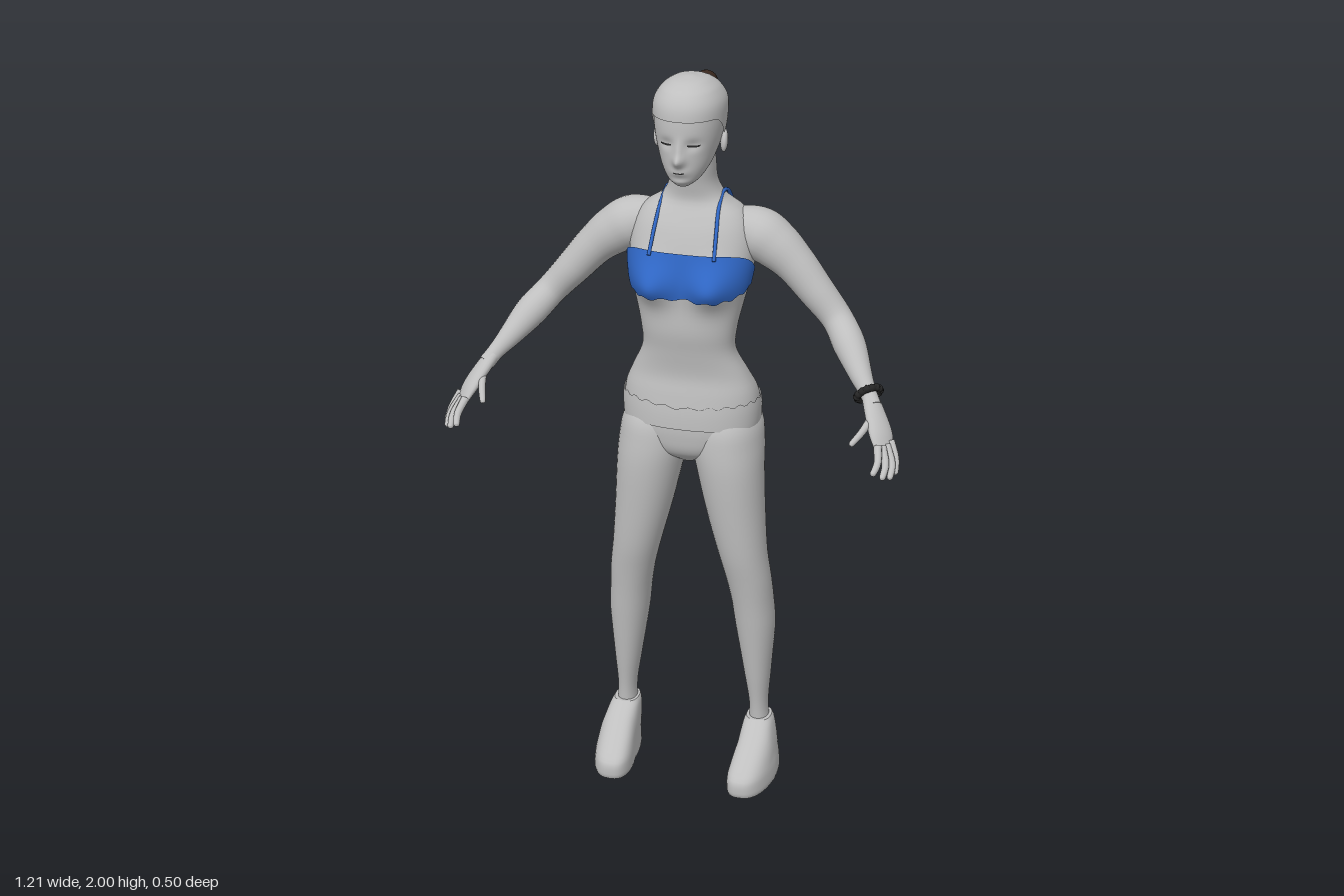
import * as THREE from 'three';

const mat = (name, color, side = THREE.FrontSide) => {
  const m = new THREE.MeshStandardMaterial({ color, side });
  m.name = name;
  return m;
};

// Smooth interpolation of table rows keyed by their first column
function sample(table, y) {
  let k = 0;
  while (k < table.length - 2 && y > table[k + 1][0]) k++;
  const a = table[k], b = table[k + 1], p = table[k - 1] || a, q = table[k + 2] || b;
  const h = b[0] - a[0], t = THREE.MathUtils.clamp((y - a[0]) / h, 0, 1), t2 = t * t, t3 = t2 * t;
  return a.map((v, i) => {
    const m0 = (b[i] - p[i]) / (b[0] - p[0]) * h, m1 = (q[i] - v) / (q[0] - a[0]) * h;
    return v * (2 * t3 - 3 * t2 + 1) + m0 * (t3 - 2 * t2 + t) + b[i] * (3 * t2 - 2 * t3) + m1 * (t3 - t2);
  });
}

// Body surface from rows [y, centre x, half width, front z, back z]
const power = (v, e) => Math.sign(v) * Math.abs(v) ** e;
function surface(table, n, bump = () => {}) {
  return (y, a, off = 0) => {
    const [, xc, hw, zf, zb] = sample(table, y);
    const p = new THREE.Vector3(
      xc + (hw + off) * power(Math.sin(a), 2 / n), y,
      (zf + zb) / 2 + ((zf - zb) / 2 + off) * power(Math.cos(a), 2 / n));
    bump(p, Math.cos(a));
    return p;
  };
}

// Grid of points f(u, v); closed grids wrap round in u and get end caps
function grid(f, nu, nv, closed) {
  const pos = [], idx = [], w = closed ? nu : nu + 1;
  for (let j = 0; j <= nv; j++)
    for (let i = 0; i < w; i++) pos.push(...f(i / nu, j / nv).toArray());
  for (let j = 0; j < nv; j++)
    for (let i = 0; i < nu; i++) {
      const a = j * w + i, b = j * w + (i + 1) % w;
      idx.push(a, b, b + w, a, b + w, a + w);
    }
  if (closed) for (const v of [0, 1]) {
    const start = pos.length / 3, c = new THREE.Vector3();
    for (let i = 0; i < nu; i++) {
      const p = f(i / nu, v);
      pos.push(...p.toArray());
      c.addScaledVector(p, 1 / nu);
    }
    pos.push(...c.toArray());
    for (let i = 0; i < nu; i++) {
      const a = start + i, b = start + (i + 1) % nu;
      idx.push(start + nu, v ? a : b, v ? b : a);
    }
  }
  const g = new THREE.BufferGeometry();
  g.setAttribute('position', new THREE.Float32BufferAttribute(pos, 3));
  g.setIndex(idx);
  g.computeVertexNormals();
  return g;
}

const loft = (S, y0, y1, nu = 40, nv = 48) => grid((u, v) =>
  S(y0 + (y1 - y0) * (1 - Math.cos(Math.PI * v)) / 2, u * 2 * Math.PI), nu, nv, true);

// Thin plate lying on a surface; lo and hi give its edges for each angle
const patch = (S, a0, a1, lo, hi, off, nu = 40, nv = 10) => grid((u, v) => {
  const a = a0 + (a1 - a0) * u;
  return S(lo(a) + (hi(a) - lo(a)) * v, a, off);
}, nu, nv, false);

// Tapered tube through points [x, y, z, radius, radius across]
function limb(points, ref, nu = 16, nv = 36) {
  const path = new THREE.CatmullRomCurve3(points.map(p => new THREE.Vector3(p[0], p[1], p[2])));
  const radii = new THREE.CatmullRomCurve3(
    points.map((p, i) => new THREE.Vector3(p[3], p[4] ?? p[3], i)), false, 'catmullrom');
  return grid((u, v) => {
    const T = path.getTangent(v), N = ref.clone().cross(T).normalize(), B = T.clone().cross(N);
    const r = radii.getPoint(v), a = u * 2 * Math.PI;
    return path.getPoint(v).addScaledVector(N, r.x * Math.cos(a)).addScaledVector(B, r.y * Math.sin(a));
  }, nu, nv, true);
}

const bell = (x, y, sx, sy) => Math.exp(-((x / sx) ** 2 + (y / sy) ** 2));

export function createModel() {
  const model = new THREE.Group();
  model.name = 'standingFigure';
  const grey = mat('pale grey', 0xbfbfbf), blue = mat('blue cloth', 0x2f66c4, THREE.DoubleSide);
  const brown = mat('brown hair', 0x3b291f), dark = mat('near black', 0x262626, THREE.DoubleSide);
  const shell = mat('pale grey fabric', 0xbfbfbf, THREE.DoubleSide);
  const add = (name, geo, m = grey) => {
    const mesh = new THREE.Mesh(geo, m);
    mesh.name = name;
    model.add(mesh);
    return mesh;
  };

  // Torso and neck
  const torso = surface([
    [0.945, 0, 0.03, -0.01, -0.11], [0.98, 0, 0.12, 0.03, -0.145], [1.03, 0, 0.17, 0.043, -0.172],
    [1.09, 0, 0.182, 0.043, -0.182], [1.15, 0, 0.176, 0.035, -0.16], [1.2, 0, 0.155, 0.027, -0.13],
    [1.27, 0, 0.124, 0.035, -0.105], [1.33, 0, 0.127, 0.045, -0.115], [1.4, 0, 0.142, 0.045, -0.135],
    [1.47, 0, 0.158, 0.045, -0.16], [1.54, 0, 0.165, 0.032, -0.178], [1.6, 0, 0.155, 0.012, -0.176],
    [1.64, 0, 0.13, -0.008, -0.163], [1.67, 0, 0.086, -0.022, -0.147], [1.71, 0, 0.063, -0.018, -0.137],
    [1.76, 0, 0.058, -0.008, -0.132], [1.81, 0, 0.056, 0, -0.13],
  ], 2.35, (p, c) => {
    const x = Math.abs(p.x) - 0.085;
    if (c > 0) p.z += 0.045 * c ** 0.5 * bell(x, p.y - 1.46, 0.055, 0.052);
    else p.z -= 0.014 * bell(x, p.y - 1.07, 0.06, 0.07) - 0.02 * bell(p.x, p.y - 1.03, 0.015, 0.07)
      - 0.008 * bell(p.x, p.y - 1.4, 0.02, 0.2);
  });
  add('torso', loft(torso, 0.945, 1.81, 64, 90));
  add('waistband', patch(torso, 0, 2 * Math.PI, () => 1.06,
    a => 1.12 + 0.012 * Math.abs(Math.sin(a)) + 0.004 * Math.sin(a * 23), 0.004, 96, 6), shell);

  // Cropped top: front and back panels with uneven hems
  add('topFront', patch(torso, -1.5, 1.5,
    a => 1.432 + 0.025 * (a / 1.5) ** 4 + 0.004 * Math.sin(a * 19),
    a => 1.548 - 0.05 * (a / 1.5) ** 4, 0.008, 60, 14), blue);
  add('topBack', patch(torso, Math.PI - 0.85, Math.PI + 0.85,
    a => 1.475 + 0.015 * Math.cos((a - Math.PI) * 3) * -1 + 0.004 * Math.sin(a * 17),
    a => 1.575 - 0.025 * (a - Math.PI) ** 2, 0.008, 40, 10), blue);

  // Head with brow, nose and lips shaped into the surface
  const head = surface([
    [1.733, 0, 0.018, 0.042, 0], [1.75, 0, 0.04, 0.056, -0.035], [1.78, 0, 0.06, 0.064, -0.085],
    [1.82, 0, 0.075, 0.066, -0.125], [1.86, 0, 0.085, 0.068, -0.145], [1.9, 0, 0.089, 0.067, -0.153],
    [1.94, 0, 0.087, 0.06, -0.152], [1.97, 0, 0.07, 0.04, -0.13], [1.985, 0, 0.051, 0.016, -0.108],
    [1.994, 0, 0.032, -0.008, -0.083], [1.998, 0, 0.006, -0.036, -0.05],
  ], 2.15, (p, c) => {
    if (c < 0) return;
    p.z += 0.022 * bell(p.x, p.y - 1.806, 0.014, 0.016) + 0.012 * bell(p.x, p.y - 1.83, 0.01, 0.025)
      + 0.007 * bell(p.x, p.y - 1.775, 0.022, 0.012) + 0.006 * bell(p.x, p.y - 1.747, 0.025, 0.01)
      - 0.008 * bell(Math.abs(p.x) - 0.034, p.y - 1.848, 0.018, 0.014);
  });
  add('head', loft(head, 1.733, 1.998, 64, 80));
  add('hairCap', patch(head, 0, 2 * Math.PI, a => {
    const back = THREE.MathUtils.smoothstep(-Math.cos(a), -0.55, 0.5);
    return 1.908 - 0.095 * back;
  }, () => 1.998, 0.004, 64, 30), shell);
  add('lips', patch(head, -0.22, 0.22, () => 1.774, () => 1.777, 0.002, 10, 1), dark);
  for (const s of [1, -1]) {
    const arc = a => 0.006 * ((Math.abs(a) - 0.42) / 0.2) ** 2;
    add('eyelashes', patch(head, s * 0.42 - 0.2, s * 0.42 + 0.2,
      a => 1.842 + arc(a) * 0.5, a => 1.847 + arc(a) * 0.4, 0.002, 10, 1), dark);
    const ear = add('ear', new THREE.SphereGeometry(1, 16, 12));
    ear.scale.set(0.01, 0.03, 0.018);
    ear.position.set(s * 0.086, 1.832, -0.052);
    ear.rotation.set(-0.2, s * 0.3, 0);
  }

  // Ponytail
  const X = new THREE.Vector3(1, 0, 0), Z = new THREE.Vector3(0, 0, 1);
  add('ponytail', limb([
    [0, 1.925, -0.135, 0.022], [0, 1.942, -0.165, 0.023], [0, 1.932, -0.2, 0.03], [0, 1.87, -0.217, 0.032, 0.029],
    [0, 1.79, -0.215, 0.029, 0.026], [0, 1.71, -0.202, 0.016], [0, 1.655, -0.192, 0.003],
  ], X), brown);

  for (const s of [1, -1]) {
    const side = s > 0 ? 'left' : 'right';
    const flip = pts => pts.map(([x, ...rest]) => [s * x, ...rest]);

    // Shoulder straps
    add(side + 'Strap', limb(flip([
      [0.086, 1.54, 0.045, 0.005], [0.082, 1.6, 0.008, 0.005], [0.077, 1.655, -0.035, 0.005],
      [0.075, 1.682, -0.09, 0.005], [0.076, 1.667, -0.14, 0.005], [0.08, 1.62, -0.172, 0.005],
      [0.082, 1.565, -0.178, 0.005],
    ]), X, 8), blue);

    // Arm
    add(side + 'Arm', limb(flip([
      [0.08, 1.595, -0.098, 0.045], [0.165, 1.576, -0.098, 0.068], [0.215, 1.548, -0.094, 0.064],
      [0.265, 1.507, -0.088, 0.054], [0.325, 1.44, -0.08, 0.047], [0.385, 1.373, -0.068, 0.041],
      [0.43, 1.322, -0.02, 0.042], [0.475, 1.265, 0.04, 0.029], [0.5, 1.235, 0.07, 0.022],
      [0.517, 1.212, 0.092, 0.022],
    ]), Z, 24, 60));

    // Hand
    const across = new THREE.Vector3(-0.5 * s, 0, 0.8).normalize();
    add(side + 'Palm', limb(flip([
      [0.505, 1.23, 0.076, 0.018, 0.022], [0.525, 1.2, 0.105, 0.018, 0.03],
      [0.548, 1.16, 0.138, 0.016, 0.036], [0.561, 1.13, 0.162, 0.01, 0.03],
    ]), across, 20, 16));
    const fingers = [
      [[0.574, 1.143, 0.138], [0.593, 1.105, 0.162], [0.598, 1.078, 0.186]],
      [[0.567, 1.137, 0.153], [0.588, 1.1, 0.183], [0.589, 1.074, 0.211]],
      [[0.559, 1.137, 0.167], [0.575, 1.104, 0.201], [0.573, 1.08, 0.23]],
      [[0.549, 1.141, 0.178], [0.557, 1.113, 0.215], [0.551, 1.094, 0.243]],
      [[0.522, 1.195, 0.108], [0.506, 1.172, 0.165], [0.488, 1.155, 0.21]],
    ];
    for (const [a, b, c] of fingers) {
      const tip = c.map((v, i) => v + (c[i] - b[i]) * 0.12);
      add(side + 'Finger', limb(flip([[...a, 0.011], [...b, 0.0095], [...c, 0.0075], [...tip, 0.002]]), X, 10, 16));
    }

    // Leg, drawn in at the knee and ankle
    const leg = surface([
      [0.13, 0.192, 0.028, -0.045, -0.112], [0.2, 0.19, 0.026, -0.04, -0.114], [0.3, 0.186, 0.037, -0.025, -0.125],
      [0.45, 0.179, 0.054, -0.005, -0.138], [0.53, 0.172, 0.057, 0.005, -0.132], [0.6, 0.163, 0.061, 0.016, -0.12],
      [0.68, 0.148, 0.066, 0.03, -0.118], [0.8, 0.128, 0.078, 0.042, -0.132], [0.93, 0.11, 0.09, 0.05, -0.15],
      [1, 0.1, 0.096, 0.047, -0.178], [1.06, 0.097, 0.087, 0.036, -0.188], [1.12, 0.09, 0.05, 0, -0.14],
    ].map(([y, x, ...r]) => [y, s * x, ...r]), 2.1);
    add(side + 'Leg', loft(leg, 0.13, 1.12, 36, 60));

    // Shoe with a flat sole and sloping upper
    const shoe = surface([
      [0, 0.202, 0.056, 0.126, -0.122], [0.012, 0.202, 0.058, 0.13, -0.125], [0.045, 0.201, 0.056, 0.127, -0.124],
      [0.06, 0.2, 0.054, 0.112, -0.124], [0.1, 0.197, 0.049, 0.052, -0.123], [0.145, 0.193, 0.04, -0.016, -0.12],
      [0.157, 0.192, 0.034, -0.035, -0.116],
    ].map(([y, x, ...r]) => [y, s * x, ...r]), 2.6, p => { p.x -= s * 0.13 * Math.max(0, p.z); });
    add(side + 'Shoe', loft(shoe, 0, 0.157, 40, 24));
  }

  // Beaded bracelet on the left wrist
  const bracelet = new THREE.Group();
  bracelet.name = 'bracelet';
  const part = (name, geo) => {
    const m = new THREE.Mesh(geo, dark);
    m.name = name;
    bracelet.add(m);
    return m;
  };
  part('braceletBand', new THREE.TorusGeometry(0.03, 0.009, 10, 32));
  for (let i = 0; i < 14; i++) {
    const a = i / 14 * 2 * Math.PI;
    part('bead', new THREE.SphereGeometry(0.0105, 8, 6)).position.set(0.031 * Math.cos(a), 0.031 * Math.sin(a), 0);
  }
  bracelet.position.set(0.5, 1.235, 0.07);
  bracelet.quaternion.setFromUnitVectors(Z, new THREE.Vector3(0.08, -0.1, 0.1).normalize());
  model.add(bracelet);
  return model;
}
